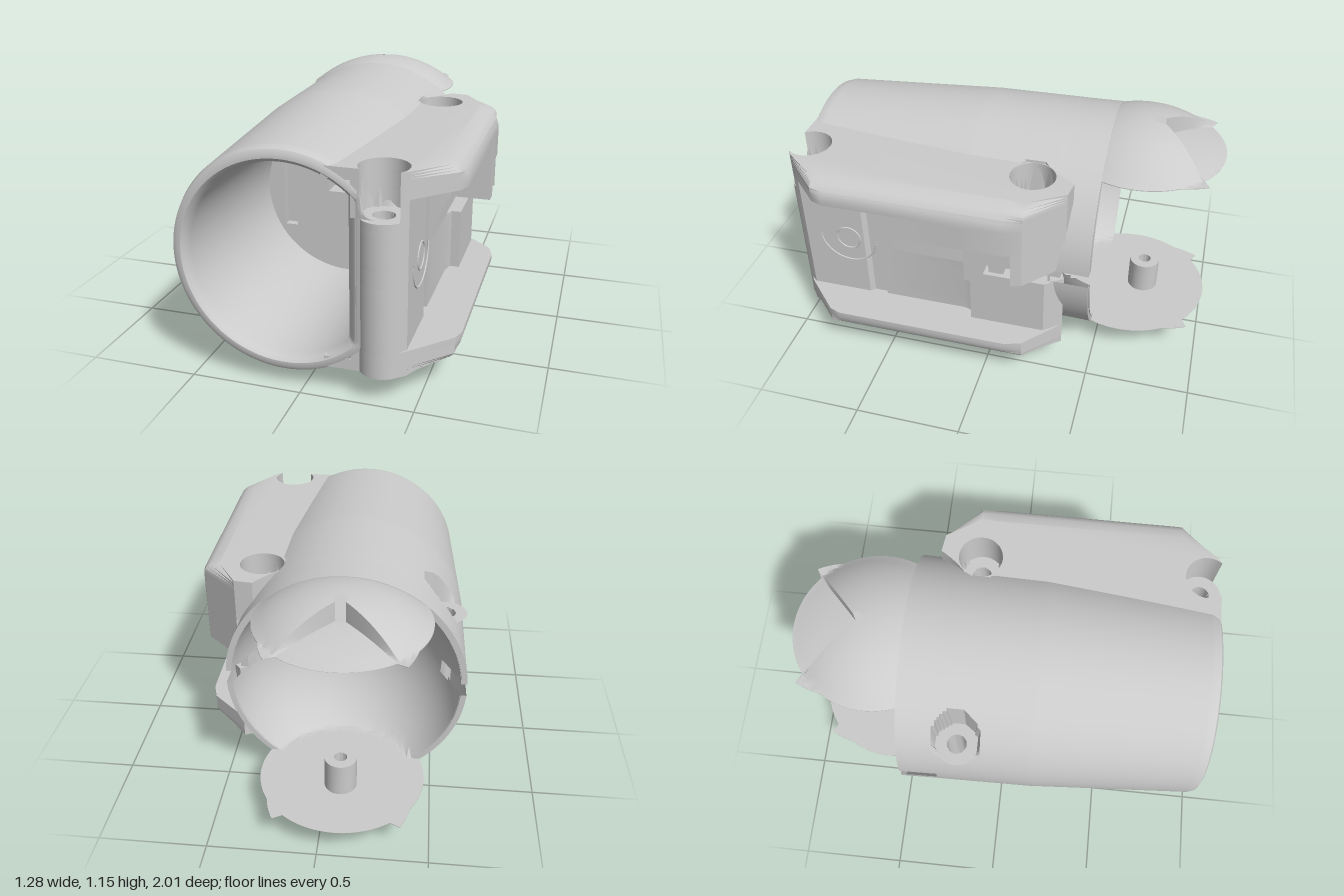
import * as THREE from 'three';
import { toCreasedNormals } from 'three/addons/utils/BufferGeometryUtils.js';

const CX = -0.08, CY = 0.575, BALL_Z = -0.62;      // tube axis and ball centre
const SCREWS = [[-0.53, -0.2], [0.34, -0.18], [0.34, 0.9]];
const BORE_FLOOR = 0.815, BORE_R = 0.105, HOLE_R = 0.048;
const mat = new THREE.MeshStandardMaterial({ color: 0xcccccc, side: THREE.DoubleSide });

function add(group, geo, name, crease = 0.5) {
  const mesh = new THREE.Mesh(crease ? toCreasedNormals(geo, crease) : geo, mat);
  mesh.name = name;
  group.add(mesh);
  return mesh;
}

// Surface from a closed loop (u) and a profile (v); skip drops triangles by centre
function grid(nu, nv, point, skip = () => false) {
  const pos = [], idx = [];
  for (let j = 0; j <= nv; j++)
    for (let i = 0; i < nu; i++) pos.push(...point((i / nu) * Math.PI * 2, j));
  const tri = (...t) => {
    const c = [0, 1, 2].map(k => t.reduce((s, v) => s + pos[v * 3 + k], 0) / 3);
    if (!skip(...c)) idx.push(...t);
  };
  for (let j = 0; j < nv; j++)
    for (let i = 0; i < nu; i++) {
      const a = j * nu + i, b = j * nu + (i + 1) % nu;
      tri(a, b, b + nu);
      tri(a, b + nu, a + nu);
    }
  const geo = new THREE.BufferGeometry();
  geo.setAttribute('position', new THREE.Float32BufferAttribute(pos, 3));
  geo.setIndex(idx);
  return geo;
}

const inSlit = (x, y, z) => Math.abs(y - CY) < 0.035 && z < -0.3 && Math.abs(x - CX) > 0.3;
const nearScrew = (x, z, r) => SCREWS.some(([sx, sz]) => Math.hypot(x - sx, z - sz) < r);

// Tapered tube: outer skin, rounded lip and bore with one flattened side
function tubeSkin() {
  const key = [[-0.48, 0.53, 1], [-0.48, 0.56, 1], [-0.3, 0.556, 1], [-0.28, 0.556, 0.42], [0.15, 0.55, 0.42],
    [0.93, 0.502, 0.42], [0.96, 0.492, 0.42], [0.97, 0.475, 0.42], [0.97, 0.455, 0.25], [0.955, 0.44, 0.225],
    [0.92, 0.43, 0.2], [0.05, 0.425, 0.19]];
  const rings = [key[0]];
  for (let k = 1; k < key.length; k++) {
    const a = key[k - 1], b = key[k];
    const n = k < 6 ? Math.max(1, Math.ceil((b[0] - a[0]) / 0.016)) : 1;
    for (let s = 1; s <= n; s++) rings.push(a.map((v, i) => v + (b[i] - v) * s / n));
  }
  return grid(220, rings.length - 1, (t, j) => {
    const [z, r, xMax] = rings[j];
    const x = Math.min(CX + r * Math.cos(t), xMax);
    let y = CY + r * Math.sin(t);
    if (nearScrew(x, z, BORE_R)) y = Math.min(y, BORE_FLOOR);
    return [x, y, z];
  }, (x, y, z) => inSlit(x, y, z) || nearScrew(x, z, HOLE_R));
}

// Ball socket, running from the window out to the rear rim
function socket() {
  const n = 24, wx = 0, wy = 0.68;
  return grid(144, n + 1, (t, j) => {
    const c = Math.cos(t), s = Math.sin(t);
    const tin = Math.min(0.18 / Math.abs(c), 0.105 / Math.abs(s));
    const ox = wx - CX, oy = wy - CY, b = ox * c + oy * s;
    const tout = -b + Math.sqrt(b * b - ox * ox - oy * oy + 0.533 ** 2);
    const d = tin + (tout - tin) * Math.max(0, j - 1) / n;
    const x = wx + d * c, y = wy + d * s;
    const z = BALL_Z + Math.sqrt(0.3025 - (x - CX) ** 2 - (y - CY) ** 2);
    return [x, THREE.MathUtils.clamp(y, 0.15, 1.0), j ? z : -0.03];
  }, inSlit);
}

// Domed tongue with a recessed V and a hollow pivot pin
function tongue(name) {
  const g = new THREE.Group();
  g.name = name;
  const n = 16, pz = -0.69, off = BALL_Z - pz, V = 0.82;
  add(g, grid(180, 2 * n + 1, (t, j) => {
    const under = j <= n, k = (under ? j : 2 * n + 1 - j) / n;
    const fromV = Math.abs(t - Math.PI), b = -off * Math.cos(t);
    let edge = -b + Math.sqrt(b * b - off * off + 0.387 ** 2);
    if (fromV >= V) edge += 0.05 * Math.max(0, 1 - (fromV - V) / 0.35);   // pointed tips
    const r = 0.03 + (edge - 0.03) * k;
    const x = r * Math.sin(t), z = pz + r * Math.cos(t);
    let h = Math.max(0.004, Math.sqrt(Math.max(0, 0.3306 - x * x - (z - BALL_Z) ** 2)) - 0.425);
    if (fromV < V) h *= 0.35;
    return [CX + x, under ? 0.425 : 0.425 + h, z];
  }), 'tongueDome');
  const pin = [[0.03, 0.425], [0.03, 0.265], [0.075, 0.265], [0.075, 0.425]].map(p => new THREE.Vector2(...p));
  add(g, new THREE.LatheGeometry(pin, 32), 'pivotPin').position.set(CX, 0, pz);
  g.position.y = CY;
  return g;
}

const arc = (cx, cz, r, a0, a1, n) => Array.from({ length: n + 1 }, (_, i) => {
  const a = a0 + (a1 - a0) * i / n;
  return [cx + r * Math.cos(a), cz + r * Math.sin(a)];
});

// One horizontal layer of the side housing, with its outer side given as x,z points
function layer(y0, y1, inner, side, counterbored) {
  const R = counterbored ? 0.5 : 0.555, hole = counterbored ? BORE_R : HOLE_R;
  const a = 0.67, [bx, bz] = SCREWS[2];
  const front = counterbored
    ? arc(bx, bz, BORE_R, Math.PI - a, 2 * Math.PI + a, 24)
    : arc(bx, bz, BORE_R, Math.PI - a, a, 12);
  const pts = [[inner, 0.965], ...front, ...side,
    ...arc(CX, BALL_Z, R, 0.52, Math.acos((inner - CX) / R), 12)];
  const shape = new THREE.Shape(pts.map(([x, z]) => new THREE.Vector2(x, -z)));
  const cut = ([x, z], r) => shape.holes.push(new THREE.Path().absarc(x, -z, r, 0, Math.PI * 2, true));
  cut(SCREWS[1], hole);
  if (!counterbored) cut(SCREWS[2], HOLE_R);
  const geo = new THREE.ExtrudeGeometry(shape, { depth: y1 - y0, steps: 5, bevelEnabled: false, curveSegments: 20 });
  geo.rotateX(-Math.PI / 2).translate(0, y0, 0);
  // round the outer top and bottom edges
  const p = geo.attributes.position;
  for (let i = 0; i < p.count; i++) {
    const d = Math.max(0, Math.abs(p.getY(i) - CY) - 0.345);
    p.setX(i, Math.min(p.getX(i), 0.54 + Math.sqrt(Math.max(0, 0.01 - d * d))));
  }
  return geo;
}

// Wall between bore and socket
function wall(depth, grooved) {
  const shape = new THREE.Shape(arc(CX, CY, 0.428, 0, Math.PI * 2, 72).slice(0, -1)
    .map(([x, y]) => new THREE.Vector2(Math.min(x, 0.195), y)));
  const rect = (x0, x1, y0, y1) => shape.holes.push(new THREE.Path(
    [[x0, y0], [x0, y1], [x1, y1], [x1, y0]].map(q => new THREE.Vector2(...q))));
  rect(-0.18, 0.18, 0.575, 0.785);
  if (grooved) rect(-0.42, -0.355, 0.37, 0.785);
  return new THREE.ExtrudeGeometry(shape, { depth, bevelEnabled: false });
}

export function createModel() {
  const model = new THREE.Group();
  add(model, tubeSkin(), 'tubeBody', 0.6);
  add(model, socket(), 'ballSocket');
  add(model, wall(0.06, false), 'innerWall').position.z = -0.03;
  add(model, wall(0.04, true), 'groovedWall').position.z = 0.03;

  // curved web in the window corner
  const web = new THREE.Shape();
  web.moveTo(0.18, 0.575);
  web.lineTo(0.18, 0.785);
  web.lineTo(0.06, 0.785);
  web.quadraticCurveTo(0.08, 0.75, 0.09, 0.74);
  web.quadraticCurveTo(0.145, 0.67, 0.145, 0.575);
  add(model, new THREE.ExtrudeGeometry(web, { depth: 0.02, bevelEnabled: false }), 'windowWeb').position.z = -0.08;

  // side housing, built up in layers around the side pocket
  const housing = new THREE.Group();
  housing.name = 'sideHousing';
  model.add(housing);
  const back = [[0.64, -0.12], [0.615, -0.2], [0.44, -0.36]];
  const full = [[0.45, 0.945], [0.62, 0.775], [0.64, 0.72], ...back];
  const pocket = [[0.45, 0.93], [0.45, 0.63], [0.43, 0.61], [0.43, 0.54], [0.445, 0.54], [0.445, 0.13]];
  const low = [...pocket, [0.46, 0.08], [0.505, 0.08], [0.505, -0.28], [0.44, -0.36]];
  const slot = [...pocket, [0.44, 0.08], [0.44, -0.34]];
  const block = [...pocket, [0.45, 0.06], [0.64, 0.06], ...back];
  const notch = [...pocket, [0.45, 0.06], [0.64, 0.06], [0.64, -0.01], [0.5, -0.01], [0.5, -0.03], [0.56, -0.03],
    [0.56, -0.1], [0.5, -0.1], [0.5, -0.15], [0.63, -0.15], [0.615, -0.2], [0.44, -0.36]];
  const layers = [
    ['outerBottomFlange', 0.13, 0.18, 0.1, full, false],
    ['bottomFlange', 0.18, 0.245, 0.22, full, false],
    ['lowerBlock', 0.245, 0.54, 0.24, low, false],
    ['slotLayer', 0.54, 0.61, 0.24, slot, false],
    ['notchedBlock', 0.61, 0.785, 0.24, notch, false],
    ['upperBlock', 0.785, BORE_FLOOR, 0.24, block, false],
    ['counterboreBlock', BORE_FLOOR, 0.905, 0.22, block, true],
    ['topFlange', 0.905, 0.97, 0.22, full, true],
    ['outerTopFlange', 0.97, 1.02, 0.1, full, true]];
  for (const [name, ...args] of layers) add(housing, layer(...args), name);

  // round mark and curved line in the pocket
  for (const [r, sweep, y] of [[0.06, Math.PI * 2, 0.575], [0.145, Math.PI, 0.585]]) {
    const ring = add(housing, new THREE.TorusGeometry(r, 0.005, 6, 40, sweep), 'pocketMark');
    ring.position.set(0.45, y, 0.71);
    ring.rotation.set(0, Math.PI / 2, sweep > 4 ? 0 : Math.PI);
  }

  // screw seat and sleeve on the tube side
  const [sx, sz] = SCREWS[0];
  const seat = add(model, new THREE.RingGeometry(0.046, 0.1, 40), 'screwSeat', 0);
  seat.rotation.x = -Math.PI / 2;
  seat.position.set(sx, BORE_FLOOR + 0.002, sz);
  add(model, new THREE.CylinderGeometry(0.047, 0.047, 0.57, 32, 1, true), 'screwSleeve').position.set(sx, 0.53, sz);

  // matching tongues above and below
  const lower = tongue('lowerTongue');
  lower.scale.y = -1;
  model.add(tongue('upperTongue'), lower);
  return model;
}
